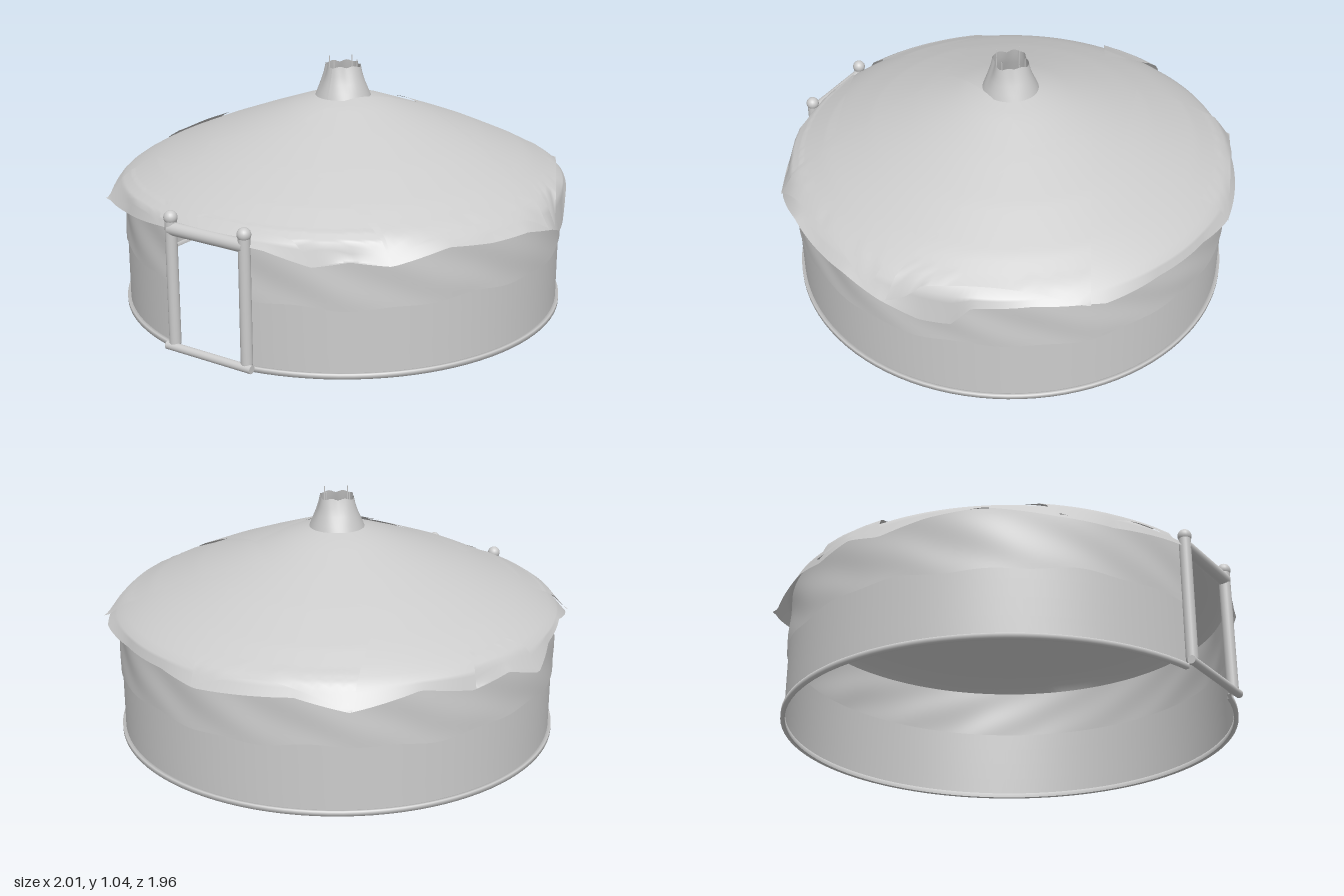
import * as THREE from 'three';

const TAU = Math.PI * 2;
const WALL_R = 0.945;
const DOOR_ANGLE = 0.195; // half-angle of the doorway, measured from +z

// Eave corners [x, z, y], running from the front round the +x side
const EAVE = [
  [0, 0.95, 0.53], [0.25, 0.93, 0.51], [0.43, 0.87, 0.46], [0.55, 0.79, 0.48], [0.69, 0.72, 0.47],
  [0.83, 0.54, 0.52], [0.92, 0.36, 0.5], [0.98, 0.18, 0.5], [1, 0, 0.46], [0.96, -0.16, 0.4],
  [0.92, -0.28, 0.4], [0.89, -0.36, 0.5], [0.78, -0.57, 0.52], [0.65, -0.74, 0.51], [0.6, -0.79, 0.5],
  [0.35, -0.89, 0.5], [0.08, -0.96, 0.5], [-0.12, -0.98, 0.48], [-0.5, -0.83, 0.5], [-0.69, -0.73, 0.46],
  [-0.83, -0.48, 0.51], [-0.93, -0.28, 0.47], [-0.97, -0.1, 0.5], [-1, 0.07, 0.45], [-0.93, 0.24, 0.51],
  [-0.85, 0.45, 0.53], [-0.73, 0.7, 0.47], [-0.52, 0.82, 0.48], [-0.25, 0.93, 0.51],
].map(([x, z, y]) => ({ a: (Math.atan2(x, z) + TAU) % TAU, r: Math.max(0.962, Math.hypot(x, z)), y }));
EAVE.push({ ...EAVE[0], a: TAU });

function eaveAt(angle) {
  const a = ((angle % TAU) + TAU) % TAU;
  const i = Math.max(1, EAVE.findIndex((e) => e.a >= a));
  const p = EAVE[i - 1], q = EAVE[i], t = (a - p.a) / (q.a - p.a);
  return { r: p.r + (q.r - p.r) * t, y: p.y + (q.y - p.y) * t };
}

// Roof profile [radius, height]
const ROOF = [[0.1, 0.885], [0.2, 0.858], [0.4, 0.787], [0.6, 0.712], [0.8, 0.627], [0.9, 0.575], [WALL_R, 0.545]];
function roofHeight(x, z) {
  const r = Math.hypot(x, z);
  if (r > WALL_R) {
    const e = eaveAt(Math.atan2(x, z));
    return THREE.MathUtils.lerp(0.545, e.y, Math.min(1, (r - WALL_R) / (e.r - WALL_R)));
  }
  const i = Math.max(1, ROOF.findIndex((p) => p[0] >= r));
  const [p, q] = [ROOF[i - 1], ROOF[i]];
  return THREE.MathUtils.lerp(p[1], q[1], (r - p[0]) / (q[0] - p[0]));
}

// Surface grid from a rule fn(u, v) -> [x, y, z]
function sheet(nu, nv, fn) {
  const pos = [], index = [];
  for (let j = 0; j <= nv; j++) {
    for (let i = 0; i <= nu; i++) {
      pos.push(...fn(i / nu, j / nv));
      if (i < nu && j < nv) {
        const a = j * (nu + 1) + i, b = a + nu + 1;
        index.push(a, a + 1, b, a + 1, b + 1, b);
      }
    }
  }
  const g = new THREE.BufferGeometry();
  g.setAttribute('position', new THREE.Float32BufferAttribute(pos, 3));
  g.setIndex(index);
  g.computeVertexNormals();
  return g;
}

export function createModel() {
  const model = new THREE.Group();
  const solid = new THREE.MeshStandardMaterial({ color: 0xcccccc });
  const cloth = new THREE.MeshStandardMaterial({ color: 0xcccccc, side: THREE.DoubleSide });
  const add = (name, geometry, material = solid, x = 0, y = 0, z = 0) => {
    const mesh = new THREE.Mesh(geometry, material);
    mesh.name = name;
    mesh.position.set(x, y, z);
    model.add(mesh);
    return mesh;
  };
  const wallAngle = (u) => DOOR_ANGLE + u * (TAU - 2 * DOOR_ANGLE);
  const polar = (a, r, y) => [r * Math.sin(a), y, r * Math.cos(a)];

  // Smooth lower wall and rumpled upper wall with a wavy hem
  add('lowerWall', sheet(128, 4, (u, v) => polar(wallAngle(u), 0.939, 0.02 + 0.3 * v)), cloth);
  add('upperWall', sheet(200, 12, (u, v) => {
    const a = wallAngle(u);
    const hem = 0.287 + 0.008 * Math.sin(7 * a) + 0.006 * Math.sin(17 * a + 1);
    const rumple = 0.004 * Math.sin(13 * a + 5 * v) * Math.sin(Math.PI * v);
    return polar(a, 0.945 + rumple - 0.005 * v, hem + (0.538 - hem) * v);
  }), cloth);

  // Flat base hoop, open at the doorway
  const hoop = [[0.935, 0], [0.953, 0], [0.953, 0.02], [0.935, 0.02], [0.935, 0]];
  add('baseHoop', new THREE.LatheGeometry(hoop.map((p) => new THREE.Vector2(...p)), 96,
    DOOR_ANGLE, TAU - 2 * DOOR_ANGLE), cloth);

  // Roof cover from smoke hole to drooping eave
  add('roofCover', sheet(232, 22, (u, v) => {
    const a = u * TAU, e = eaveAt(a);
    const r = v < 0.8 ? 0.11 + (WALL_R - 0.11) * v / 0.8 : WALL_R + (e.r - WALL_R) * (v - 0.8) / 0.2;
    const x = r * Math.sin(a), z = r * Math.cos(a);
    return [x, roofHeight(x, z), z];
  }), cloth);

  // Overlapping hides: four plan corners [x, z] each, draped on the roof
  const hides = [
    [[-0.7, -0.73], [-0.11, -0.98], [0.09, -0.57], [-0.52, -0.35]],
    [[0.66, -0.75], [0.02, -0.4], [0.24, -0.25], [0.99, -0.03]],
    [[0.24, -0.25], [1, 0.05], [0.69, 0.72], [0, 0.3]],
    [[-0.36, 0.45], [0.36, 0.2], [0.49, 0.54], [-0.3, 0.66]],
    [[-0.1, 0.91], [0.42, 0.63], [0.69, 0.72], [0.43, 0.87]],
    [[-0.94, -0.28], [-0.7, -0.1], [-0.7, -0.09], [-1, 0.07]],
    [[-0.73, 0.71], [-0.66, 0.51], [-0.28, 0.66], [-0.25, 0.93]],
  ];
  hides.forEach((c, n) => {
    const lift = 0.006 + 0.0025 * (n % 3);
    add('roofHide', sheet(28, 28, (u, v) => {
      const mix = (k) => THREE.MathUtils.lerp(
        THREE.MathUtils.lerp(c[0][k], c[1][k], u), THREE.MathUtils.lerp(c[3][k], c[2][k], u), v);
      const x = mix(0), z = mix(1), s = 1 + (Math.hypot(x, z) > 0.9 ? 0.006 : 0);
      return [x * s, roofHeight(x, z) + lift, z * s];
    }), cloth);
  });

  // Smoke crown: round at the foot, pinched to four lobes at the top
  const crown = [[0.122, 0.872], [0.112, 0.905], [0.1, 0.94], [0.09, 0.975], [0.083, 1.012]];
  add('smokeCrown', sheet(48, 4, (u, v) => {
    const [r, y] = crown[Math.round(v * 4)], a = u * TAU;
    return polar(a, r - 0.008 * v * (1 - Math.cos(4 * a)), y - 0.004 * v * Math.cos(8 * a));
  }), cloth);
  for (let i = 0; i < 4; i++) {
    const [x, , z] = polar(i * TAU / 4, 0.07, 0);
    add('crownPeg', new THREE.CylinderGeometry(0.002, 0.003, 0.1, 6), solid, x, 0.99, z);
  }

  // Door frame of round poles with rounded ends
  const pole = (name, r, length, x, y, z) =>
    add(name, new THREE.CapsuleGeometry(r, length - 2 * r, 8, 20), solid, x, y, z);
  for (const s of [-1, 1]) {
    pole('doorPost', 0.024, 0.56, s * 0.178, 0.295, 0.945);
    add('postKnob', new THREE.SphereGeometry(0.028, 20, 14), solid, s * 0.178, 0.563, 0.945);
  }
  const rail = (name, r, length, y, z) => {
    add(name, new THREE.CylinderGeometry(r, r, length, 20), solid, 0, y, z).rotation.z = Math.PI / 2;
  };
  rail('doorLintel', 0.027, 0.36, 0.518, 0.945);
  rail('doorSill', 0.017, 0.42, 0.022, 0.957);

  return model;
}
